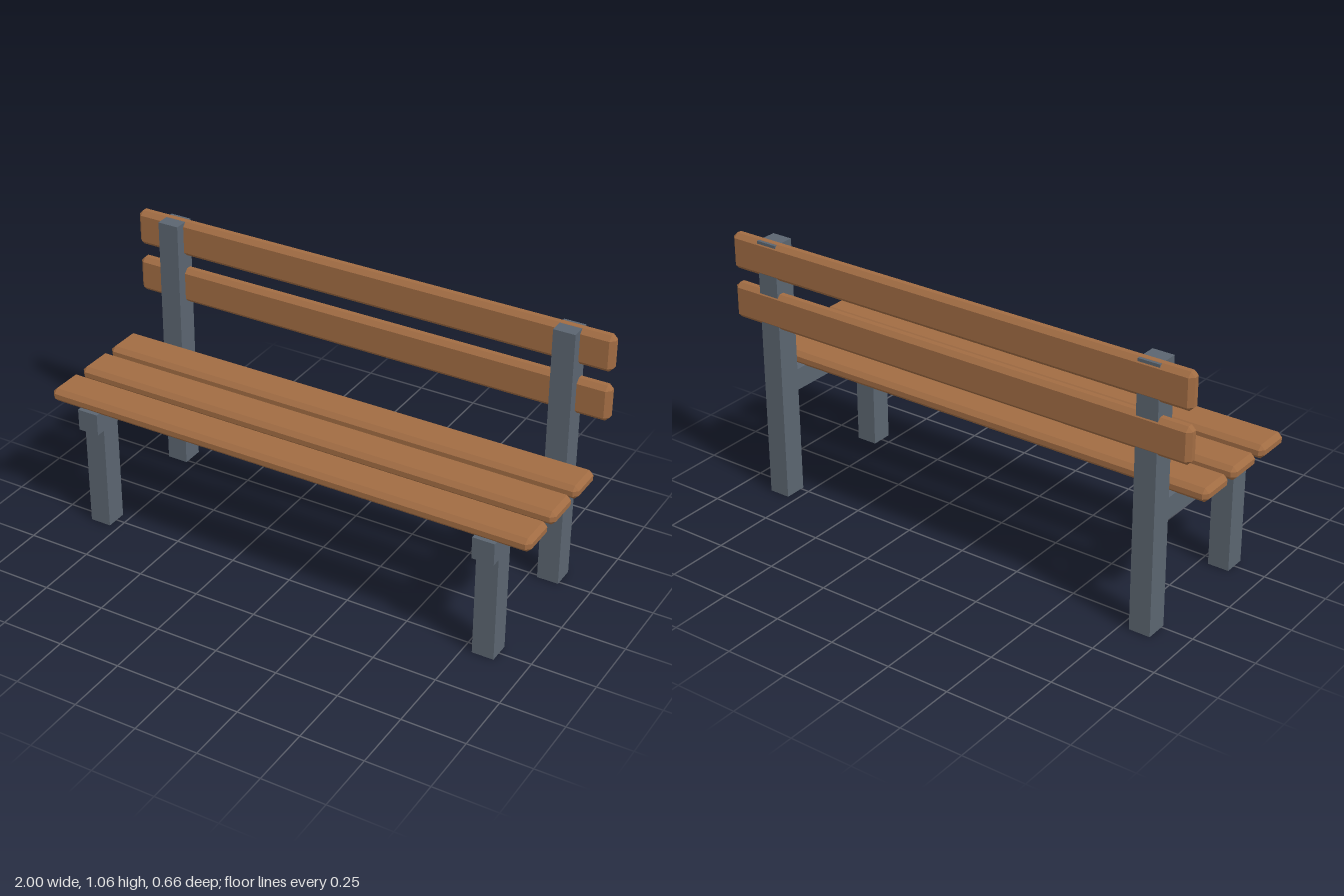
import * as THREE from 'three';
import { ConvexGeometry } from 'three/addons/geometries/ConvexGeometry.js';

const wood = new THREE.MeshStandardMaterial({ color: 0xa16c43 });
wood.name = 'wood';
const metal = new THREE.MeshStandardMaterial({ color: 0x5b6570 });
metal.name = 'greyMetal';

// Box with every edge cut at 45 degrees: each face is inset by the bevel
function bevelledBox(w, h, d, bevel) {
  const points = [];
  for (const x of [-1, 1]) for (const y of [-1, 1]) for (const z of [-1, 1]) {
    for (let face = 0; face < 3; face++) {
      const inset = [0, 1, 2].map((axis) => (axis === face ? 0 : bevel));
      points.push(new THREE.Vector3(
        x * (w / 2 - inset[0]), y * (h / 2 - inset[1]), z * (d / 2 - inset[2])));
    }
  }
  return new ConvexGeometry(points);
}

export function createModel() {
  const bench = new THREE.Group();
  bench.name = 'bench';

  const add = (parent, name, geometry, material, x, y, z) => {
    const mesh = new THREE.Mesh(geometry, material);
    mesh.name = name;
    mesh.position.set(x, y, z);
    parent.add(mesh);
  };

  // Side frames: rear post, front leg and seat beam
  const width = 0.086;
  for (const side of [-1, 1]) {
    const frame = new THREE.Group();
    frame.name = side > 0 ? 'leftFrame' : 'rightFrame';
    frame.position.x = side * 0.83;
    add(frame, 'rearPost', new THREE.BoxGeometry(width, 1.056, 0.09), metal, 0, 0.528, -0.283);
    add(frame, 'frontLeg', new THREE.BoxGeometry(width, 0.43, 0.088), metal, 0, 0.215, 0.251);
    add(frame, 'seatBeam', new THREE.BoxGeometry(width, 0.087, 0.571), metal, 0, 0.4735, 0.0475);
    bench.add(frame);
  }

  // Three seat planks
  const plank = bevelledBox(2, 0.054, 0.154, 0.017);
  [0.251, 0.06, -0.127].forEach((z, i) =>
    add(bench, `seatPlank${i + 1}`, plank, wood, 0, 0.54, z));

  // Two backrest slats, let into the rear posts
  const slat = bevelledBox(2, 0.143, 0.054, 0.017);
  [0.986, 0.786].forEach((y, i) =>
    add(bench, `backSlat${i + 1}`, slat, wood, 0, y, -0.305));

  return bench;
}
